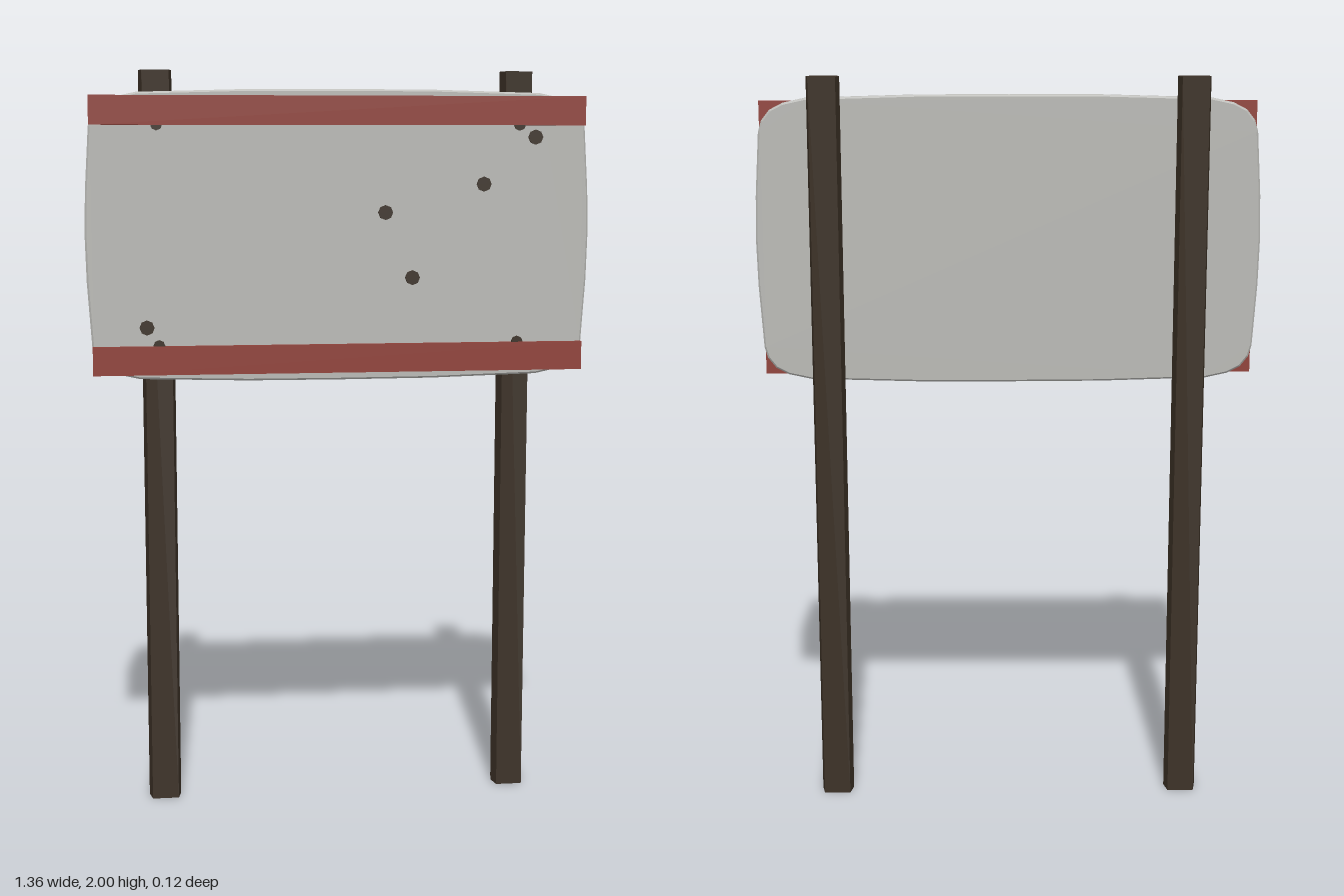
import * as THREE from 'three';

const material = (name, color) => {
  const m = new THREE.MeshStandardMaterial({ color });
  m.name = name;
  return m;
};

export function createModel() {
  const group = new THREE.Group();
  const wood = material('dark wood', 0x3a2f24);
  const panelGrey = material('panel grey', 0xb8b8b4);
  const red = material('stripe red', 0x8f3f37);

  const add = (name, geometry, mat, x, y, z) => {
    const mesh = new THREE.Mesh(geometry, mat);
    mesh.name = name;
    mesh.position.set(x, y, z);
    group.add(mesh);
    return mesh;
  };
  const polygon = (points) => new THREE.Shape(points.map(([x, y]) => new THREE.Vector2(x, y)));

  // Two six-sided posts
  const section = polygon([[-0.036, -0.041], [0.036, -0.041], [0.044, 0], [0.036, 0.041], [-0.036, 0.041], [-0.044, 0]]);
  const postGeometry = new THREE.ExtrudeGeometry(section, { depth: 2, bevelEnabled: false });
  postGeometry.rotateX(-Math.PI / 2);
  add('leftPost', postGeometry, wood, 0.488, 0, -0.021);
  add('rightPost', postGeometry, wood, -0.488, 0, -0.021);

  // Bulging board with clipped corners, one quarter mirrored into a full outline
  const quarter = [[0.68, 0], [0.677, 0.12], [0.666, 0.29], [0.657, 0.32], [0.635, 0.348], [0.6, 0.366], [0.54, 0.379], [0.25, 0.387], [0, 0.388]];
  const half = [...quarter, ...quarter.slice(0, -1).reverse().map(([x, y]) => [-x, y])];
  const outline = [...half, ...half.slice(1, -1).reverse().map(([x, y]) => [x, -y])];
  const board = new THREE.ExtrudeGeometry(polygon(outline), {
    depth: 0.016, bevelThickness: 0.005, bevelSize: 0.005, bevelOffset: -0.005, bevelSegments: 1,
  });
  add('board', board, panelGrey, 0, 1.563, 0.025);

  // Stripes along the top and bottom of the board
  const stripe = new THREE.BoxGeometry(1.33, 0.077, 0.012);
  add('topStripe', stripe, red, 0, 1.895, 0.052);
  add('bottomStripe', stripe, red, 0, 1.234, 0.052);

  // Bolts half hidden by the stripes, and scattered dents
  const disc = (radius) => new THREE.CylinderGeometry(radius, radius, 0.009, 8).rotateX(Math.PI / 2);
  const bolt = disc(0.016);
  for (const x of [-0.488, 0.486]) for (const y of [1.858, 1.273]) add('bolt', bolt, wood, x, y, 0.048);
  const dent = disc(0.02);
  for (const [x, y] of [[0.53, 1.825], [0.39, 1.7], [0.122, 1.625], [0.196, 1.45], [-0.52, 1.322]]) {
    add('dent', dent, wood, x, y, 0.048);
  }
  return group;
}
